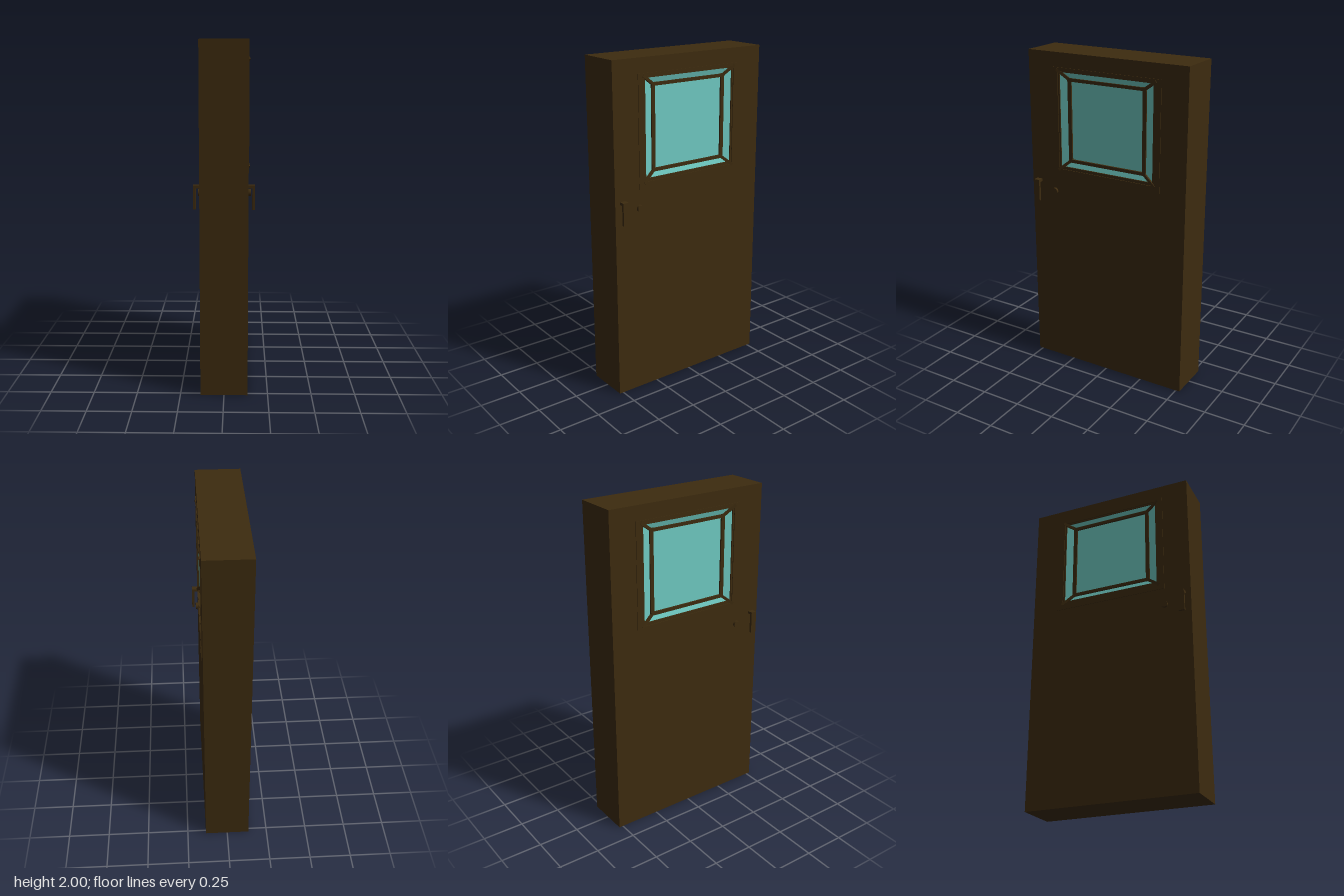
import * as THREE from 'three';

const wood = new THREE.MeshStandardMaterial({ color: 0x3d2b0f });
const glass = new THREE.MeshStandardMaterial({ color: 0x6fcac2, flatShading: true, side: THREE.DoubleSide });

const HALF = 0.135; // half thickness of the door

function add(parent, name, geometry, material = wood) {
  const mesh = new THREE.Mesh(geometry, material);
  mesh.name = name;
  parent.add(mesh);
  return mesh;
}

// Four corners of a rectangle, counter-clockwise seen from +z
const corners = (w, y0, y1, z) =>
  [[-w, y0], [w, y0], [w, y1], [-w, y1]].map(([x, y]) => new THREE.Vector3(x, y, z));

const path = (w, y0, y1, Type = THREE.Shape) =>
  new Type(corners(w, y0, y1, 0).map((p) => new THREE.Vector2(p.x, p.y)));

// Rectangular panel with a rectangular opening, extruded along z from z0
function panelWithHole(outer, inner, z0, depth) {
  const shape = path(...outer);
  shape.holes.push(path(...inner, THREE.Path));
  return new THREE.ExtrudeGeometry(shape, { depth, bevelEnabled: false }).translate(0, 0, z0);
}

// Square bar between two points
function bar(parent, name, a, b, size) {
  const mesh = add(parent, name, new THREE.BoxGeometry(size, size * 0.8, a.distanceTo(b) + size * 0.9));
  mesh.position.copy(a).add(b).multiplyScalar(0.5);
  mesh.lookAt(b);
  return mesh;
}

// Window for one face, facing +z: raised trim, dished glass, glazing bars
function createWindow() {
  const win = new THREE.Group();
  win.name = 'window';
  add(win, 'windowTrim', panelWithHole([0.36, 1.26, 1.913], [0.322, 1.298, 1.895], HALF - 0.03, 0.034));

  const outer = corners(0.322, 1.298, 1.895, HALF - 0.005);
  const inner = corners(0.25, 1.355, 1.845, HALF - 0.02);
  const points = [...outer, ...inner];
  const index = [4, 5, 6, 4, 6, 7];
  for (let i = 0; i < 4; i++) {
    const j = (i + 1) % 4;
    index.push(i, j, j + 4, i, j + 4, i + 4);
  }
  const pane = new THREE.BufferGeometry().setFromPoints(points);
  pane.setIndex(index);
  const flat = pane.toNonIndexed();
  flat.computeVertexNormals();
  add(win, 'glass', flat, glass);

  // Thin outer edging, then the inner bars and corner diagonals
  add(win, 'outerEdging', panelWithHole([0.322, 1.298, 1.895], [0.311, 1.315, 1.886], HALF - 0.015, 0.014));
  for (let i = 0; i < 4; i++) {
    bar(win, 'glazingBar', inner[i], inner[(i + 1) % 4], 0.024);
    bar(win, 'cornerBar', outer[i], inner[i], 0.022);
  }
  return win;
}

// Lever handle and lock knob for one side, s = +1 or -1
function createHardware(s) {
  const group = new THREE.Group();
  group.name = s > 0 ? 'leftHardware' : 'rightHardware';
  const arm = add(group, 'handleArm', new THREE.BoxGeometry(0.045, 0.016, 0.036));
  arm.position.set(s * 0.1475, 1.203, 0.475);
  const grip = add(group, 'handleGrip', new THREE.BoxGeometry(0.015, 0.135, 0.036));
  grip.position.set(s * 0.1635, 1.1435, 0.475);
  const knob = add(group, 'lockKnob', new THREE.CylinderGeometry(0.02, 0.02, 0.03, 24));
  knob.rotation.z = Math.PI / 2;
  knob.position.set(s * 0.135, 1.15, 0.36);
  return group;
}

export function createModel() {
  const door = new THREE.Group();
  door.name = 'door';

  // Slab with the window opening cut through it
  const slab = add(door, 'doorSlab',
    panelWithHole([0.525, 0, 2], [0.34, 1.28, 1.904], -HALF, HALF * 2));
  slab.rotation.y = Math.PI / 2;

  for (const s of [1, -1]) {
    const win = createWindow();
    win.rotation.y = (s * Math.PI) / 2;
    door.add(win, createHardware(s));
  }
  return door;
}
